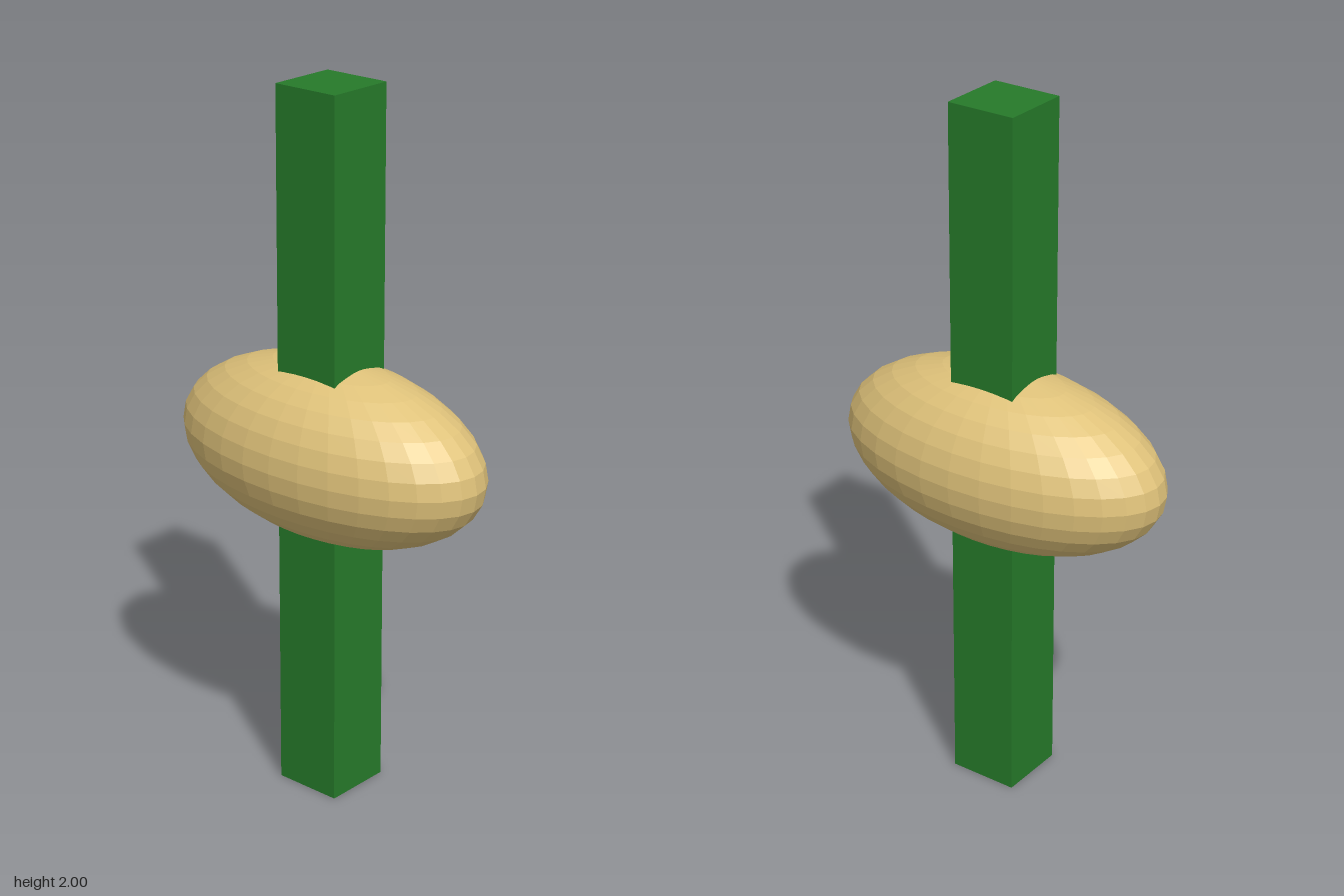
import * as THREE from 'three';

export function createModel() {
  const group = new THREE.Group();

  // Square upright post
  const post = new THREE.Mesh(
    new THREE.BoxGeometry(0.2, 2, 0.2),
    new THREE.MeshStandardMaterial({ color: 0x267a2a, flatShading: true })
  );
  post.name = 'post';
  post.position.y = 1;

  // Faceted ellipsoid around the middle of the post, long from front to back
  const ellipsoid = new THREE.Mesh(
    new THREE.SphereGeometry(0.25, 32, 16).scale(1, 1, 2),
    new THREE.MeshStandardMaterial({ color: 0xdfc27a, flatShading: true })
  );
  ellipsoid.name = 'ellipsoid';
  ellipsoid.position.y = 1;

  group.add(post, ellipsoid);
  return group;
}
